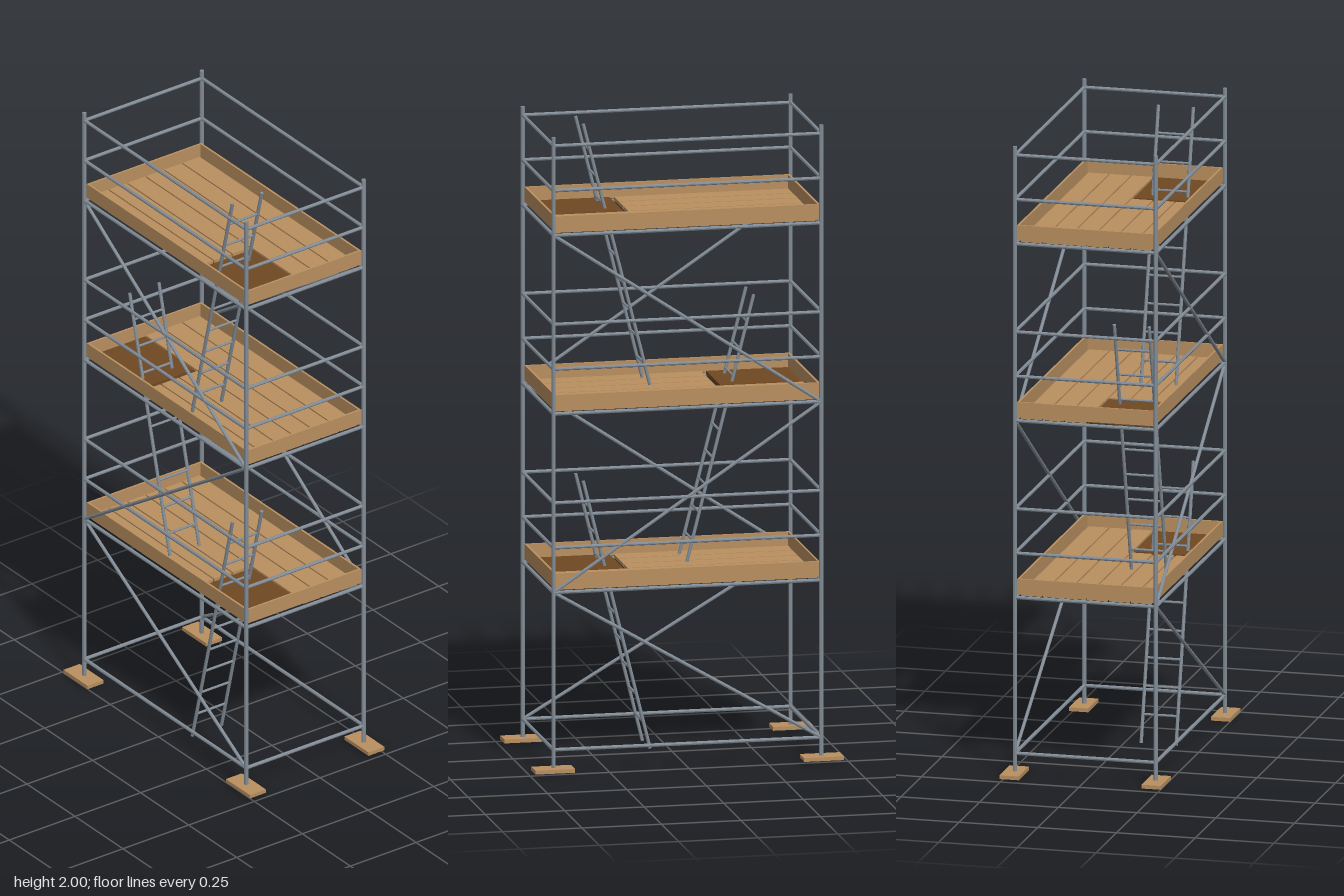
import * as THREE from 'three';

const steel = new THREE.MeshStandardMaterial({ color: 0x828c96, flatShading: true });
steel.name = 'steel';
const timber = new THREE.MeshStandardMaterial({ color: 0xb98f60 });
timber.name = 'timber';
const darkTimber = new THREE.MeshStandardMaterial({ color: 0x704822 });
darkTimber.name = 'darkTimber';

const X = 0.2235, Z = 0.421;           // post centre lines
const LIFTS = [0.567, 1.129, 1.691];   // deck ledger heights
const BASE = 0.072;                    // lowest ledger height
const DECK = 0.015;                    // deck surface above its ledger

// Eight-sided steel tube between two points
function tube(parent, name, a, b, radius) {
  const start = new THREE.Vector3(...a), end = new THREE.Vector3(...b);
  const dir = end.clone().sub(start);
  const mesh = new THREE.Mesh(new THREE.CylinderGeometry(radius, radius, dir.length(), 8), steel);
  mesh.position.copy(start).add(end).multiplyScalar(0.5);
  mesh.quaternion.setFromUnitVectors(new THREE.Vector3(0, 1, 0), dir.normalize());
  mesh.name = name;
  parent.add(mesh);
}

// Box given by its minimum and maximum corners
function slab(parent, name, min, max, material) {
  const size = max.map((v, i) => v - min[i]);
  const mesh = new THREE.Mesh(new THREE.BoxGeometry(...size), material);
  mesh.position.set(...max.map((v, i) => (v + min[i]) / 2));
  mesh.name = name;
  parent.add(mesh);
}

// Four horizontal tubes around the tower
function ring(parent, name, y, radius) {
  for (const s of [-1, 1]) {
    tube(parent, name, [-X, y, s * Z], [X, y, s * Z], radius);
    tube(parent, name, [s * X, y, -Z], [s * X, y, Z], radius);
  }
}

// Planks, hatch and toe boards; side is the end (+1 front, -1 back) with the hatch
function createDeck(y, side) {
  const deck = new THREE.Group();
  deck.name = 'deck';
  const top = y + DECK, bottom = y + 0.004;
  for (let i = 0; i < 6; i++) {
    const x = -0.175 + i * 0.07;
    const ends = i < 3 ? [-0.411 * side, 0.138 * side] : [-0.411, 0.411];
    slab(deck, 'plank', [x - 0.0325, bottom, Math.min(...ends)], [x + 0.0325, top, Math.max(...ends)], timber);
  }
  const hatch = [0.152 * side, 0.407 * side];
  slab(deck, 'hatch', [-0.208, bottom, Math.min(...hatch)], [-0.004, top, Math.max(...hatch)], darkTimber);
  const low = y + 0.01, high = y + 0.058;
  for (const s of [-1, 1]) {
    const x = s * 0.2145, z = s * 0.4135;
    slab(deck, 'sideToeBoard', [x - 0.0035, low, -0.417], [x + 0.0035, high, 0.417], timber);
    slab(deck, 'endToeBoard', [-0.211, low, z - 0.0035], [0.211, high, z + 0.0035], timber);
  }
  return deck;
}

// Leaning ladder rising toward the hatch end
function createLadder(y0, y1, firstRung, side) {
  const ladder = new THREE.Group();
  ladder.name = 'ladder';
  const zAt = (y) => side * THREE.MathUtils.mapLinear(y, y0, y1, 0.058, 0.268);
  const left = -0.163, right = -0.052;
  for (const x of [left, right]) {
    tube(ladder, 'ladderStile', [x, y0, zAt(y0)], [x, y1, zAt(y1)], 0.0054);
  }
  for (let i = 0; i < 9; i++) {
    const y = firstRung + i * 0.0848;
    tube(ladder, 'rung', [left, y, zAt(y)], [right, y, zAt(y)], 0.004);
  }
  return ladder;
}

export function createModel() {
  const tower = new THREE.Group();
  tower.name = 'scaffoldTower';

  // Corner posts on sole boards
  for (const sx of [-1, 1]) {
    for (const sz of [-1, 1]) {
      const x = sx * 0.2255, z = sz * 0.4225;
      tube(tower, 'post', [sx * X, 0.005, sz * Z], [sx * X, 2, sz * Z], 0.007);
      slab(tower, 'soleBoard', [x - 0.0305, 0.004, z - 0.0625], [x + 0.0305, 0.016, z + 0.0625], timber);
    }
  }
  ring(tower, 'baseLedger', BASE, 0.0058);

  LIFTS.forEach((y, i) => {
    const side = i % 2 ? -1 : 1;
    const below = i ? LIFTS[i - 1] : BASE;

    // Deck with ledgers and two guard rails
    ring(tower, 'deckLedger', y, 0.0058);
    tower.add(createDeck(y, side));
    ring(tower, 'midRail', y + 0.141, 0.0055);
    ring(tower, 'topRail', y + 0.282, 0.0055);

    // Diagonal braces, crossing on opposite sides and alternating by lift
    for (const sx of [-1, 1]) {
      const lowZ = -sx * side * Z;
      tube(tower, 'brace', [sx * X, below, lowZ], [sx * X, y, -lowZ], 0.0055);
    }

    // Ladder from the level below
    const foot = i ? below + DECK : 0;
    tower.add(createLadder(foot, y + 0.284, i ? below + 0.084 : 0.087, side));
  });
  return tower;
}
